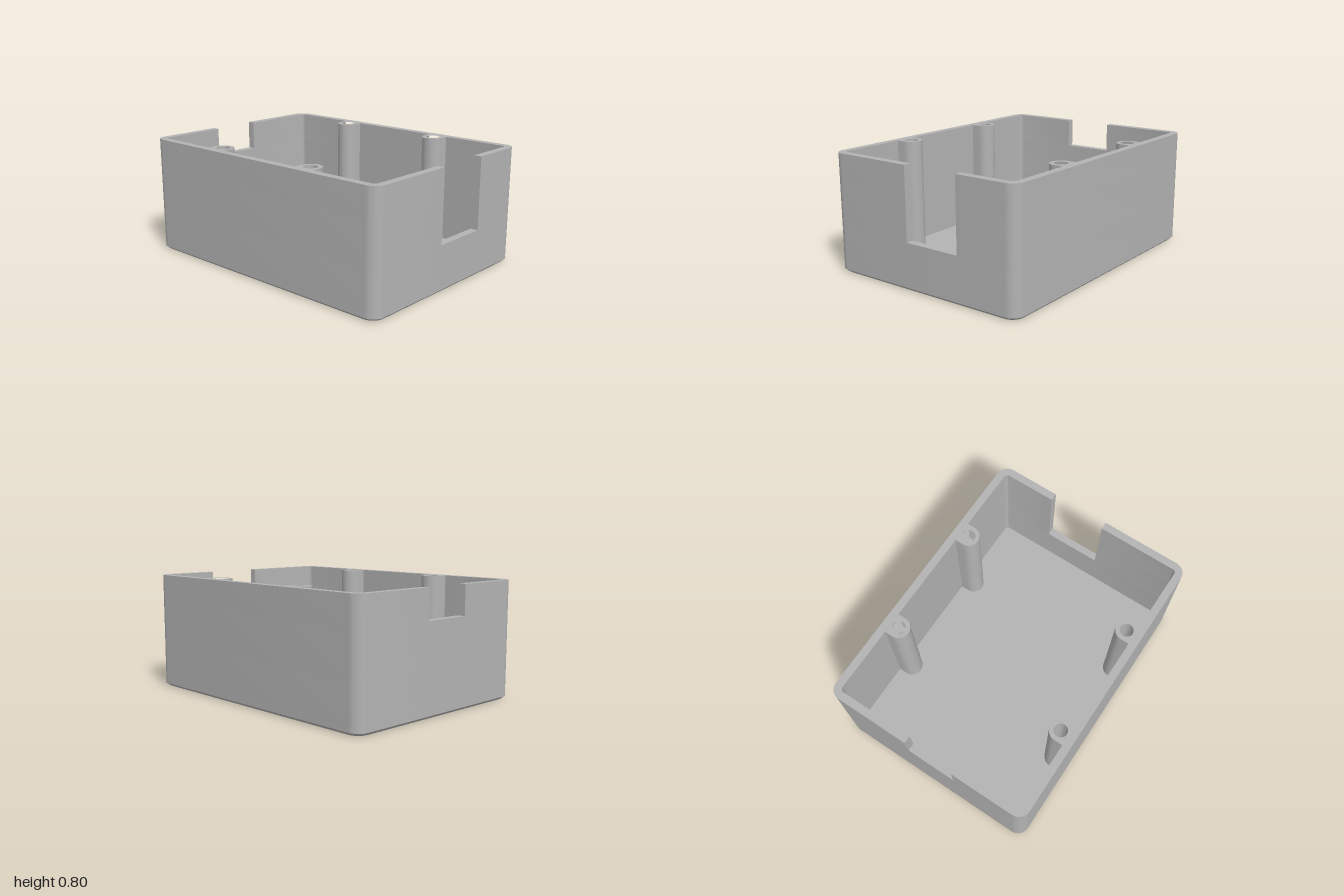
import * as THREE from 'three';
import { toCreasedNormals } from 'three/addons/utils/BufferGeometryUtils.js';

const W = 0.733, L = 1, H = 0.8;          // half width, half length, height
const IW = 0.68, IL = 0.947;              // inner half sizes
const R = 0.08, IR = 0.027;               // outer and inner corner radii
const FLOOR = 0.05, CHAMFER = 0.018;
const BOSS = { x: 0.622, z: 0.4, r: 0.074, hole: 0.045 };

// Points of an arc in plan (x, z), angles in degrees
function arc(cx, cz, r, from, to, steps = 12) {
  return Array.from({ length: steps + 1 }, (_, i) => {
    const a = THREE.MathUtils.degToRad(from + (to - from) * i / steps);
    return [cx + r * Math.cos(a), cz + r * Math.sin(a)];
  });
}

const toVectors = (points, side = 1) => points.map(([x, z]) => new THREE.Vector2(side * x, -z));

// Raise a plan shape from y0 to y1
function raise(shape, y0, y1) {
  const geometry = new THREE.ExtrudeGeometry(shape, { depth: y1 - y0, bevelEnabled: false });
  return geometry.rotateX(-Math.PI / 2).translate(0, y0, 0);
}

// Plan of one half of the wall with its two screw posts;
// front and back are the x where the end walls stop
function wallHalf(side, front, back) {
  const post = z => [
    [IW, z + BOSS.r], ...arc(BOSS.x, z, BOSS.r, 90, 270, 24), [IW, z - BOSS.r],
  ];
  const shape = new THREE.Shape(toVectors([
    [back, -L],
    ...arc(W - R, R - L, R, -90, 0),
    ...arc(W - R, L - R, R, 0, 90),
    [front, L], [front, IL],
    ...arc(IW - IR, IL - IR, IR, 90, 0, 6),
    ...post(BOSS.z), ...post(-BOSS.z),
    ...arc(IW - IR, IR - IL, IR, 0, -90, 6),
    [back, -IL],
  ], side));
  for (const z of [BOSS.z, -BOSS.z]) {
    const circle = arc(BOSS.x, z, BOSS.hole, 0, 360, 32).slice(0, -1);
    shape.holes.push(new THREE.Path(toVectors(circle, side)));
  }
  return shape;
}

export function createModel() {
  const model = new THREE.Group();
  model.name = 'enclosure';
  const plastic = new THREE.MeshStandardMaterial({ color: 0xb3b3b3 });
  plastic.name = 'grey plastic';

  const add = (name, geometry) => {
    const mesh = new THREE.Mesh(toCreasedNormals(geometry, 0.5), plastic);
    mesh.name = name;
    model.add(mesh);
  };

  // Floor plate with a chamfered underside edge
  const plan = new THREE.Shape(toVectors([
    ...arc(W - R, R - L, R, -90, 0), ...arc(W - R, L - R, R, 0, 90),
    ...arc(R - W, L - R, R, 90, 180), ...arc(R - W, R - L, R, 180, 270),
  ]));
  const chamfer = raise(plan, 0, CHAMFER);
  const p = chamfer.attributes.position;
  for (let i = 0; i < p.count; i++) {
    if (p.getY(i) < CHAMFER / 2) {
      p.setX(i, p.getX(i) * (W - CHAMFER) / W);
      p.setZ(i, p.getZ(i) * (L - CHAMFER) / L);
    }
  }
  add('floorChamfer', chamfer);
  add('floor', raise(plan, CHAMFER, FLOOR));

  // Wall layers: closed, open at the front notch, open at both notches
  const layers = [
    { name: 'lowerWall', y0: FLOOR, y1: 0.313, front: [0, 0], back: [0, 0] },
    { name: 'middleWall', y0: 0.313, y1: 0.6, front: [-0.1, 0.302], back: [0, 0] },
    { name: 'upperWall', y0: 0.6, y1: H, front: [-0.1, 0.302], back: [-0.21, 0.138] },
  ];
  for (const { name, y0, y1, front, back } of layers) {
    add(name + 'Left', raise(wallHalf(1, front[1], back[1]), y0, y1));
    add(name + 'Right', raise(wallHalf(-1, -front[0], -back[0]), y0, y1));
  }
  return model;
}
